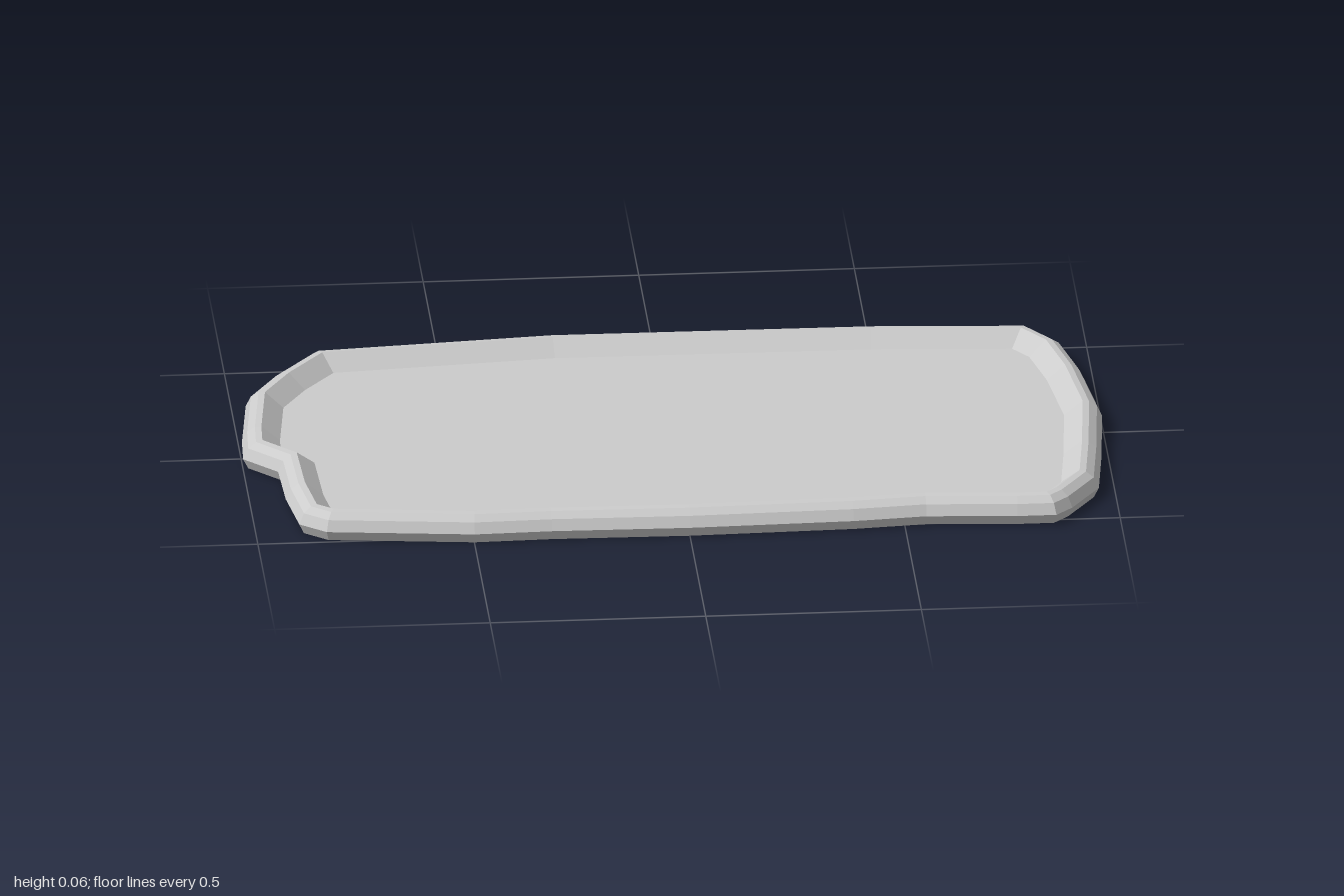
import * as THREE from 'three';

// Widest outline of the tray as [x, z], clockwise seen from above, with a notch on the right end
const OUTLINE = [
  [-0.80, -0.50], [-0.24, -0.55], [0.50, -0.545], [0.87, -0.52], [0.94, -0.42],
  [0.975, -0.26], [1.0, -0.04], [0.98, 0.20], [0.96, 0.38], [0.89, 0.49],
  [0.85, 0.53], [0.76, 0.53], [0.55, 0.515], [0.38, 0.53], [0, 0.54],
  [-0.32, 0.535], [-0.50, 0.54], [-0.84, 0.50], [-0.90, 0.45], [-0.92, 0.30],
  [-0.925, 0.14], [-1.0, 0.06], [-0.995, -0.04], [-0.97, -0.25], [-0.90, -0.37],
];

// Rim cross-section as [inset, height], from the lower lip over the crest to the floor
const FLOOR_INSET = 0.088, FLOOR_Y = 0.03;
const PROFILE = [
  [0.012, 0], [0, 0.025], [0.012, 0.05], [0.03, 0.063], [0.045, 0.065], [FLOOR_INSET, FLOOR_Y],
];

// Moves every outline corner inwards by a mitred distance
function insetOutline(distance) {
  const n = OUTLINE.length;
  const inward = (a, b) => new THREE.Vector2(a[1] - b[1], b[0] - a[0]).normalize();
  return OUTLINE.map((p, i) => {
    const n1 = inward(OUTLINE[(i + n - 1) % n], p);
    const n2 = inward(p, OUTLINE[(i + 1) % n]);
    const k = distance / (1 + n1.dot(n2));
    return new THREE.Vector2(p[0] + (n1.x + n2.x) * k, p[1] + (n1.y + n2.y) * k);
  });
}

// Sweeps the rim cross-section around the outline
function rimGeometry() {
  const n = OUTLINE.length, positions = [], index = [];
  PROFILE.forEach(([inset, y], k) => {
    insetOutline(inset).forEach((p, i) => {
      positions.push(p.x, y, p.y);
      if (k === PROFILE.length - 1) return;
      const a = k * n + i, b = k * n + (i + 1) % n;
      index.push(a, a + n, b, b, a + n, b + n);
    });
  });
  const geometry = new THREE.BufferGeometry();
  geometry.setAttribute('position', new THREE.Float32BufferAttribute(positions, 3));
  geometry.setIndex(index);
  geometry.computeVertexNormals();
  return geometry;
}

export function createModel() {
  const group = new THREE.Group();
  group.name = 'tray';
  const material = new THREE.MeshStandardMaterial({
    color: 0xcccccc, flatShading: true, side: THREE.DoubleSide,
  });

  // Rounded raised rim, hollow underneath
  const rim = new THREE.Mesh(rimGeometry(), material);
  rim.name = 'rim';

  // Thin flat floor inside the rim
  const shape = new THREE.Shape(insetOutline(FLOOR_INSET).map((p) => new THREE.Vector2(p.x, -p.y)));
  const floor = new THREE.Mesh(new THREE.ShapeGeometry(shape).rotateX(-Math.PI / 2), material);
  floor.position.y = FLOOR_Y;
  floor.name = 'floor';

  group.add(rim, floor);
  return group;
}
